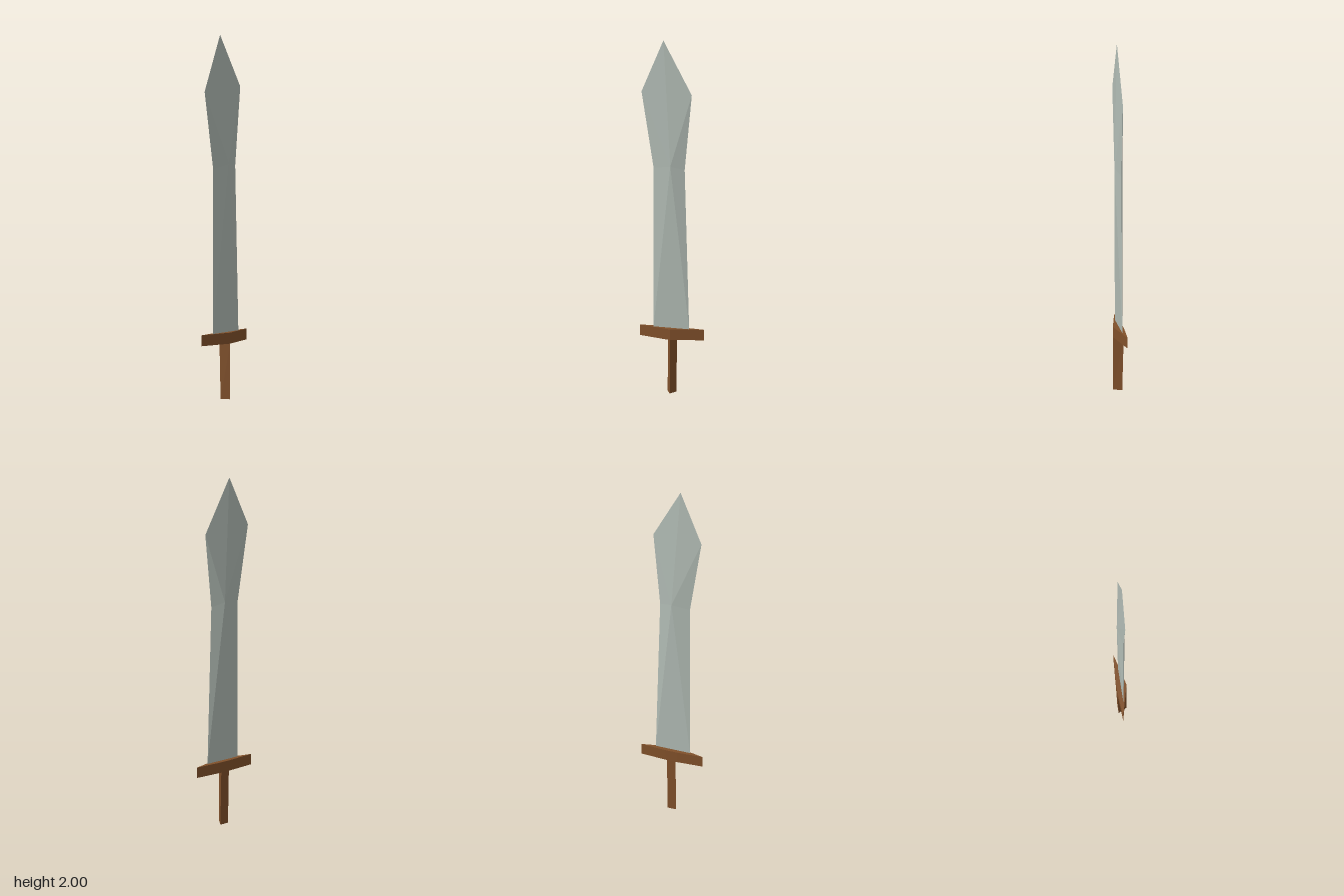
import * as THREE from 'three';

const steel = new THREE.MeshStandardMaterial({ color: 0xb2bcb5, flatShading: true });
steel.name = 'steel';
const wood = new THREE.MeshStandardMaterial({ color: 0x80502a, flatShading: true });
wood.name = 'wood';

// Flat-shaded mesh from a list of triangles
function facetMesh(name, triangles, material) {
  const geometry = new THREE.BufferGeometry();
  geometry.setAttribute('position', new THREE.Float32BufferAttribute(triangles.flat(2), 3));
  geometry.computeVertexNormals();
  const mesh = new THREE.Mesh(geometry, material);
  mesh.name = name;
  return mesh;
}

// Closed prism between two [x, z] sections, counterclockwise from above
function prism(name, bottom, top, y0, y1, material) {
  const b = bottom.map(([x, z]) => [x, y0, z]);
  const t = top.map(([x, z]) => [x, y1, z]);
  const triangles = [];
  for (let i = 0; i < b.length; i++) {
    const j = (i + 1) % b.length;
    triangles.push([b[i], b[j], t[j]], [b[i], t[j], t[i]]);
    if (i > 0 && j > 0) triangles.push([t[0], t[i], t[j]], [b[0], b[j], b[i]]);
  }
  return facetMesh(name, triangles, material);
}

// Blade: an outline of sharp edges, with facets meeting at a peak on each side
function blade() {
  const outline = [
    [2, 0.045], [1.7, 0.168], [1.27, 0.1], [0.365, 0.1],
    [0.365, -0.1], [1.27, -0.075], [1.7, -0.115],
  ].map(([y, z]) => [-0.005, y, z]);
  const rightPeak = [0.018, 1.29, 0];
  const leftPeak = [-0.027, 1.29, 0];
  const triangles = [];
  outline.forEach((p, i) => {
    const q = outline[(i + 1) % outline.length];
    triangles.push([rightPeak, p, q], [leftPeak, q, p]);
  });
  return facetMesh('blade', triangles, steel);
}

export function createModel() {
  const sword = new THREE.Group();
  sword.name = 'sword';

  // Three-sided grip, slightly deeper at the top
  sword.add(prism('grip',
    [[0.027, 0], [-0.02, -0.025], [-0.02, 0.025]],
    [[0.027, 0], [-0.028, -0.025], [-0.028, 0.025]],
    0, 0.305, wood));

  // Crossguard with a pointed face and tapered arms
  const guard = [[0.027, 0], [-0.018, -0.18], [-0.028, -0.035], [-0.028, 0.035], [-0.018, 0.18]];
  sword.add(prism('crossguard', guard, guard, 0.305, 0.365, wood));

  sword.add(blade());
  return sword;
}
